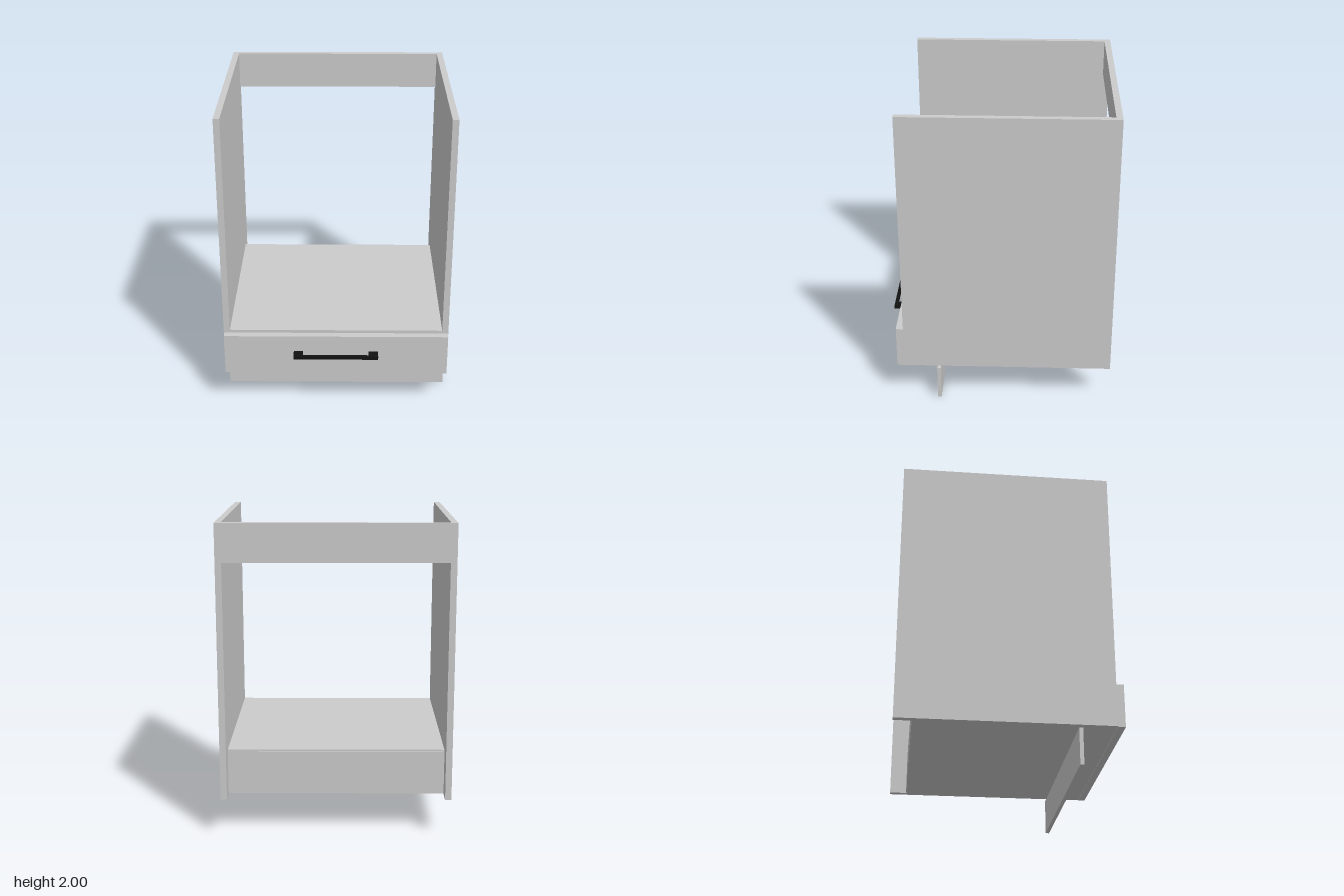
import * as THREE from 'three';

const grey = new THREE.MeshStandardMaterial({ color: 0xcccccc });
const black = new THREE.MeshStandardMaterial({ color: 0x111111 });

// Box panel given by its min and max on each axis
function panel(name, [x0, x1], [y0, y1], [z0, z1], material = grey) {
  const mesh = new THREE.Mesh(new THREE.BoxGeometry(x1 - x0, y1 - y0, z1 - z0), material);
  mesh.position.set((x0 + x1) / 2, (y0 + y1) / 2, (z0 + z1) / 2);
  mesh.name = name;
  return mesh;
}

export function createModel() {
  const model = new THREE.Group();
  model.name = 'ovenCabinet';
  const inner = [-0.69, 0.69];

  // Carcass: open at the top, with a rail across the back
  const carcass = new THREE.Group();
  carcass.name = 'carcass';
  carcass.add(
    panel('leftSide', [0.69, 0.73], [0.25, 2], [-0.73, 0.613]),
    panel('rightSide', [-0.73, -0.69], [0.25, 2], [-0.73, 0.613]),
    panel('backRail', inner, [1.76, 2], [-0.73, -0.69]),
    panel('shelf', inner, [0.505, 0.545], [-0.61, 0.613]),
    panel('bottom', inner, [0.25, 0.29], [-0.61, 0.613]),
    panel('lowerBack', inner, [0.255, 0.535], [-0.618, -0.61]),
  );

  // Drawer front with its bar handle
  const drawer = new THREE.Group();
  drawer.name = 'drawer';
  drawer.add(panel('drawerFront', [-0.726, 0.726], [0.247, 0.525], [0.614, 0.66]));
  const handle = new THREE.Group();
  handle.name = 'handle';
  handle.add(
    panel('leftHandleFoot', [0.213, 0.274], [0.394, 0.415], [0.66, 0.728], black),
    panel('rightHandleFoot', [-0.274, -0.213], [0.394, 0.415], [0.66, 0.728], black),
    panel('handleBar', [-0.213, 0.213], [0.394, 0.415], [0.707, 0.728], black),
  );
  drawer.add(handle);

  // Recessed plinth below the carcass
  model.add(carcass, drawer, panel('plinth', [-0.73, 0.73], [0, 0.232], [0.376, 0.4]));
  return model;
}
